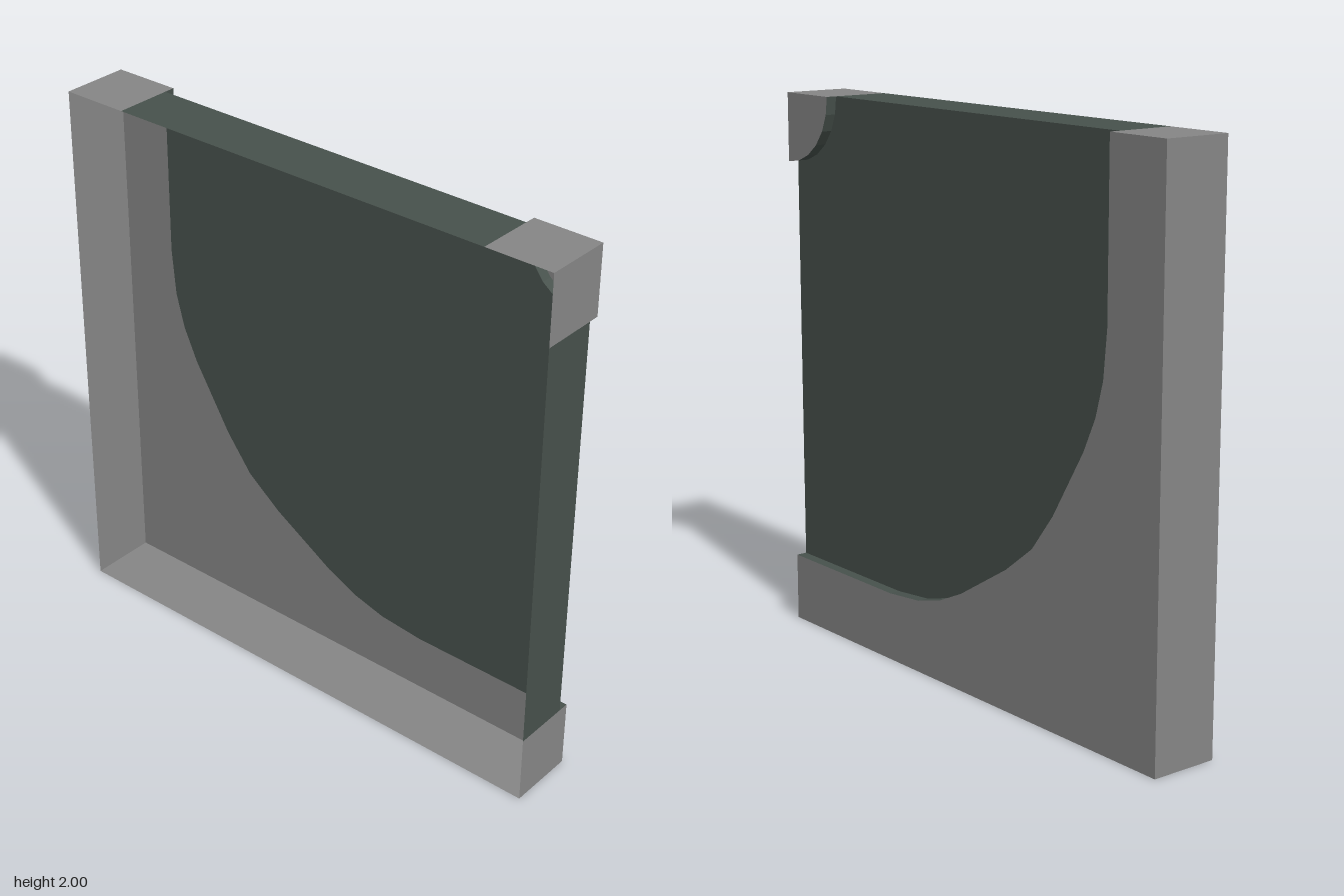
import * as THREE from 'three';

const FRONT = 0.125, KERB = -0.125, ROAD = -0.085;

export function createModel() {
  const model = new THREE.Group();
  model.name = 'roadCornerTile';
  const pavement = new THREE.MeshStandardMaterial({ color: 0x868686, side: THREE.DoubleSide });
  pavement.name = 'pavementGrey';
  const asphalt = new THREE.MeshStandardMaterial({ color: 0x47514c, side: THREE.DoubleSide });
  asphalt.name = 'asphaltDark';

  const add = (name, geometry, material) => {
    const mesh = new THREE.Mesh(geometry, material);
    mesh.name = name;
    model.add(mesh);
  };

  // Flat sheet facing -z, outlined by [x, y] points
  const sheet = (name, points, z, material) => {
    const shape = new THREE.Shape(points.map(([x, y]) => new THREE.Vector2(-x, y)));
    const geometry = new THREE.ShapeGeometry(shape);
    geometry.rotateY(Math.PI).translate(0, 0, z);
    add(name, geometry, material);
  };

  // Upright strip following a path of [x, y] points between two depths
  const strip = (name, path, z0, z1, material) => {
    const v = [];
    for (let i = 0; i < path.length - 1; i++) {
      const [a, b] = [path[i], path[i + 1]];
      v.push(...a, z0, ...b, z0, ...b, z1, ...a, z0, ...b, z1, ...a, z1);
    }
    const geometry = new THREE.BufferGeometry();
    geometry.setAttribute('position', new THREE.Float32BufferAttribute(v, 3));
    geometry.computeVertexNormals();
    add(name, geometry, material);
  };

  // Outer bend: one half, mirrored across the tile diagonal
  const half = [[-0.75, 2], [-0.75, 1.4], [-0.734, 1.23], [-0.7, 1.105], [-0.645, 0.985], [-0.498, 0.741]];
  const bend = [...half, [-0.394, 0.606], ...half.map(([x, y]) => [y - 1, x + 1]).reverse()];

  // Inner bend: quarter circle round the far corner
  const inner = [];
  for (let i = 0; i <= 6; i++) {
    const a = (i / 6) * Math.PI / 2;
    inner.push([1 - 0.25 * Math.cos(a), 2 - 0.25 * Math.sin(a)]);
  }

  // Raised pavements, sunken road and the kerbs between them
  sheet('outerPavement', [[-1, 2], [-1, 0], [1, 0], ...[...bend].reverse()], KERB, pavement);
  sheet('innerPavement', [...inner, [1, 2]], KERB, pavement);
  sheet('roadSurface', [...bend, ...[...inner].reverse()], ROAD, asphalt);
  strip('outerKerb', bend, ROAD, KERB, asphalt);
  strip('innerKerb', [...inner].reverse(), ROAD, KERB, asphalt);

  // Tile rim, open on the +z side
  strip('outerRim', [[-0.75, 2], [-1, 2], [-1, 0], [1, 0], [1, 0.25]], FRONT, KERB, pavement);
  strip('innerRim', [[1, 1.75], [1, 2], [0.75, 2]], FRONT, KERB, pavement);
  strip('roadEndTop', [[0.75, 2], [-0.75, 2]], FRONT, ROAD, asphalt);
  strip('roadEndSide', [[1, 0.25], [1, 1.75]], FRONT, ROAD, asphalt);

  return model;
}
